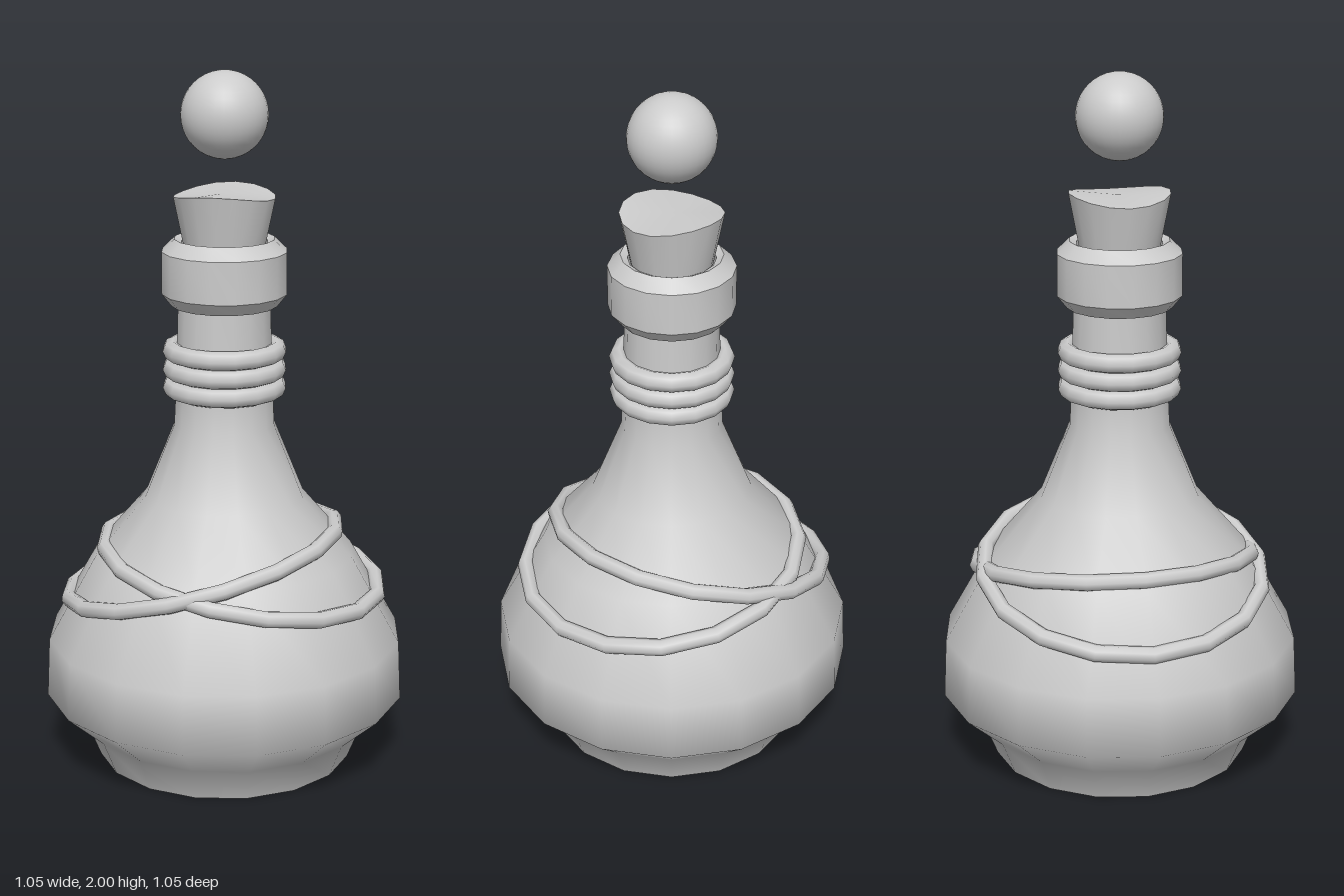
import * as THREE from 'three';
import { toCreasedNormals } from 'three/addons/utils/BufferGeometryUtils.js';

const SIDES = 16;

export function createModel() {
  const group = new THREE.Group();
  const material = new THREE.MeshStandardMaterial({ color: 0xcccccc });

  function add(name, geometry) {
    const mesh = new THREE.Mesh(geometry, material);
    mesh.name = name;
    group.add(mesh);
    return mesh;
  }
  function lathe(points, crease) {
    const profile = points.map(([r, y]) => new THREE.Vector2(r, y));
    return toCreasedNormals(new THREE.LatheGeometry(profile, SIDES), crease);
  }

  // Bulbous flask with a tapering neck
  add('bottleBody', lathe([
    [0, 0], [0.37, 0], [0.41, 0.1], [0.523, 0.2], [0.515, 0.37], [0.375, 0.62],
    [0.23, 0.79], [0.145, 1.0], [0.14, 1.1], [0.132, 1.36],
  ], 0.95));

  // Bevelled lip with an open mouth
  add('bottleLip', lathe([
    [0.125, 1.345], [0.15, 1.345], [0.178, 1.38], [0.178, 1.5],
    [0.142, 1.535], [0.122, 1.525], [0.122, 1.4],
  ], 0.6));

  // Stacked rings around the neck
  for (const y of [1.11, 1.163, 1.216]) {
    const ring = add('neckRing', new THREE.TorusGeometry(0.149, 0.028, 8, SIDES));
    ring.rotation.x = Math.PI / 2;
    ring.position.y = y;
  }

  // Flared cork with a slightly saddle-shaped top
  const cork = new THREE.CylinderGeometry(0.144, 0.1, 0.22, SIDES, 1);
  cork.translate(0, 1.55, 0);
  const pos = cork.attributes.position;
  for (let i = 0; i < pos.count; i++) {
    if (pos.getY(i) > 1.6) {
      pos.setY(i, 1.66 + 0.5 * (pos.getZ(i) ** 2 - pos.getX(i) ** 2));
    }
  }
  add('cork', toCreasedNormals(cork, 0.7));

  // Ball floating over the cork
  add('ball', new THREE.SphereGeometry(0.122, 32, 20)).position.y = 1.878;

  // Two tilted cords crossing on the front and back, given by their end points
  for (const [x0, y0, x1, y1] of [[-0.345, 0.65, 0.445, 0.51], [-0.455, 0.475, 0.32, 0.69]]) {
    const cord = new THREE.TorusGeometry(0.404, 0.024, 8, SIDES);
    cord.rotateX(Math.PI / 2);
    const mesh = add('cord', cord);
    mesh.rotation.z = Math.atan2(y1 - y0, x1 - x0);
    mesh.position.set((x0 + x1) / 2, (y0 + y1) / 2, -0.006);
  }

  return group;
}
